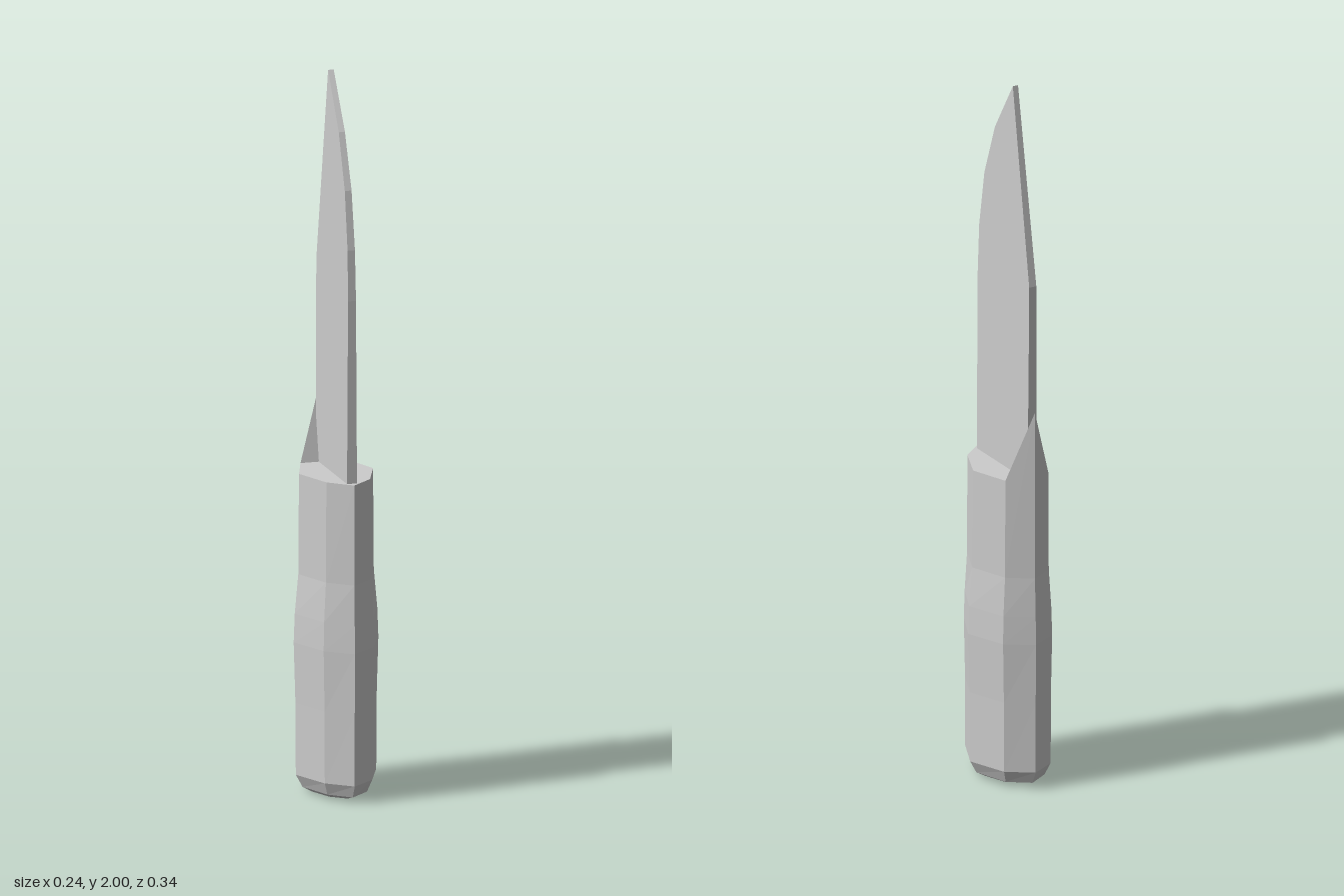
import * as THREE from 'three';

const steel = new THREE.MeshStandardMaterial({ color: 0xcccccc, flatShading: true });
steel.name = 'light grey';

// Half of the eight-sided handle section [x, z], front ridge to back ridge, at unit half-width and half-depth
const half = [[0, 1], [0.59, 0.66], [1, -0.02], [0.63, -0.7], [0, -0.98]];
const section = [...half, ...half.slice(1, 4).reverse().map(([x, z]) => [-x, z])];

// Handle rings from the butt upwards: [height, half-width, half-depth]
const rings = [
  [0, 0.068, 0.1], [0.015, 0.095, 0.15], [0.05, 0.114, 0.168], [0.25, 0.115, 0.168],
  [0.42, 0.12, 0.17], [0.5, 0.117, 0.168], [0.61, 0.107, 0.164], [0.89, 0.105, 0.164],
];

function handleGeometry() {
  const n = section.length;
  const positions = [];
  const indices = [];
  rings.forEach(([y, w, d], r) => section.forEach(([x, z], i) => {
    // The back ridge rises to a point behind the blade
    const top = r === rings.length - 1 && i === 4;
    positions.push(x * w, top ? 1.09 : y, z * d);
  }));
  for (let r = 0; r < rings.length - 1; r++) {
    for (let i = 0; i < n; i++) {
      const a = r * n + i, b = r * n + (i + 1) % n;
      indices.push(a, b, b + n, a, b + n, a + n);
    }
  }
  // Butt cap
  for (let i = 1; i < n - 1; i++) indices.push(0, i + 1, i);
  // Flat top, plus the sloping face up to the back point
  const t = (rings.length - 1) * n;
  [[0, 1, 2], [0, 2, 3], [0, 3, 5], [0, 5, 6], [0, 6, 7], [3, 4, 5]]
    .forEach(tri => indices.push(...tri.map(i => t + i)));
  const geo = new THREE.BufferGeometry();
  geo.setAttribute('position', new THREE.Float32BufferAttribute(positions, 3));
  geo.setIndex(indices);
  const flat = geo.toNonIndexed();
  flat.computeVertexNormals();
  return flat;
}

function bladeGeometry() {
  // Side outline as [z, y]: straight spine, curved cutting edge
  const outline = [
    [-0.141, 0.82], [0.143, 0.82], [0.143, 1.4], [0.136, 1.54], [0.108, 1.7],
    [0.05, 1.85], [-0.05, 2], [-0.148, 1.45], [-0.147, 1.15],
  ];
  const shape = new THREE.Shape(outline.map(([z, y]) => new THREE.Vector2(z, y)));
  const geo = new THREE.ExtrudeGeometry(shape, { depth: 2, bevelEnabled: false });
  geo.translate(0, 0, -1).rotateY(-Math.PI / 2);
  // Taper the thickness from the handle to the tip
  const p = geo.attributes.position;
  for (let i = 0; i < p.count; i++) {
    p.setX(i, p.getX(i) * THREE.MathUtils.mapLinear(p.getY(i), 0.89, 2, 0.014, 0.008));
  }
  geo.computeVertexNormals();
  return geo;
}

export function createModel() {
  const group = new THREE.Group();
  group.name = 'knife';
  const add = (name, geo) => {
    const mesh = new THREE.Mesh(geo, steel);
    mesh.name = name;
    group.add(mesh);
  };
  add('handle', handleGeometry());
  add('blade', bladeGeometry());
  return group;
}
